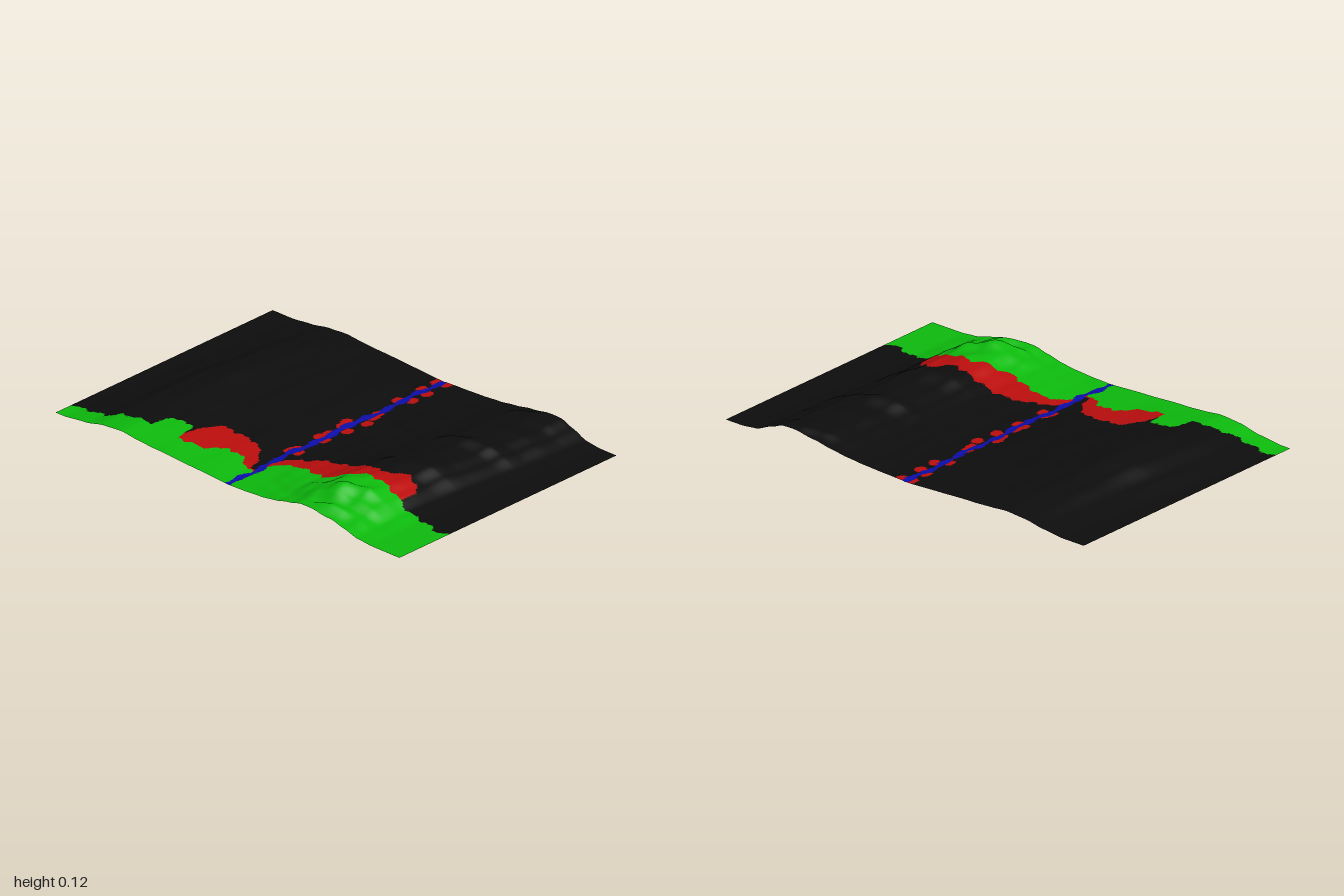
import * as THREE from 'three';

const NX = 240, NZ = 160, DEPTH = 1.334;

// smooth interpolation through a short list of [position, value] pairs
function along(points, t) {
  if (t <= points[0][0]) return points[0][1];
  for (let i = 1; i < points.length; i++) {
    const [a, va] = points[i - 1], [b, vb] = points[i];
    if (t <= b) {
      const f = (t - a) / (b - a), s = f * f * (3 - 2 * f);
      return va + (vb - va) * (0.5 * f + 0.5 * s);
    }
  }
  return points[points.length - 1][1];
}

// cross-sections (x) and crest heights (z) of the two ridges
const eastSection = [[0, 0.08], [0.1, 0.14], [0.2, 0.25], [0.3, 0.38], [0.38, 0.6], [0.46, 0.88], [0.55, 1], [0.64, 0.87], [0.71, 0.55], [0.79, 0.13], [0.87, 0]];
const eastCrest = [[-0.667, 0.06], [-0.62, 0.075], [-0.55, 0.073], [-0.5, 0.065], [-0.4, 0.075], [-0.3, 0.066], [-0.22, 0.088],
  [-0.15, 0.073], [0, 0.08], [0.1, 0.098], [0.2, 0.087], [0.3, 0.099], [0.4, 0.1], [0.45, 0.112], [0.52, 0.095], [0.57, 0.066], [0.61, 0.077], [0.667, 0.052]];
const westSection = [[-0.92, 0], [-0.8, 0.33], [-0.7, 0.82], [-0.59, 1], [-0.5, 0.82], [-0.4, 0.65], [-0.2, 0.38], [0, 0.12]];
const westCrest = [[-0.667, 0.035], [-0.45, 0.05], [-0.25, 0.062], [0, 0.083], [0.2, 0.073], [0.45, 0.055], [0.667, 0.042]];

function height(x, z) {
  const bend = 0.04 * Math.sin(z * 2.6 + 0.4);           // ridges wander sideways
  const rough = 0.05 * Math.sin(17 * x + 5 * z) * Math.sin(13 * z - 4 * x);
  let h = x > 0
    ? along(eastSection, x + bend * Math.min(1, x * 2)) * along(eastCrest, z + 0.04 * Math.sin(9 * x - 5))
    : along(westSection, x + bend * Math.min(1, -x)) * along(westCrest, z);
  h *= 1 + rough;
  // lumpy foreground hill
  const hill = Math.exp(-(((x - 0.53) / 0.17) ** 2) - ((z - 0.5) / 0.15) ** 2);
  h += 0.011 * hill * Math.sin(38 * x + 9 * z) * Math.cos(31 * z);
  return Math.max(0, h);
}

// back borders of the grass and clay areas, as z for each x
const grassWest = [[-1, 0.56], [-0.8, 0.57], [-0.7, 0.54], [-0.57, 0.53], [-0.555, 0.45], [-0.48, 0.41], [-0.43, 0.43], [-0.415, 0.53], [-0.3, 0.52], [-0.25, 0.48], [-0.2, 0.44], [-0.12, 0.45], [-0.03, 0.51]];
const grassEast = [[0, 0.44], [0.05, 0.39], [0.12, 0.36], [0.25, 0.38], [0.3, 0.4], [0.4, 0.36], [0.48, 0.32], [0.6, 0.32], [0.7, 0.34], [0.85, 0.35], [0.95, 0.38], [1, 0.37]];
const clayWest = [[-0.43, 0.52], [-0.4, 0.4], [-0.36, 0.33], [-0.3, 0.32], [-0.17, 0.32], [-0.1, 0.36], [-0.05, 0.42], [-0.03, 0.5]];
const clayEast = [[0, 0.38], [0.03, 0.33], [0.1, 0.3], [0.14, 0.26], [0.22, 0.24], [0.3, 0.23], [0.45, 0.23], [0.5, 0.25], [0.54, 0.22], [0.6, 0.18], [0.66, 0.2], [0.695, 0.25], [0.7, 0.34]];
// clay patches on the stream banks
const banks = [[-0.02, -0.64], [0.03, -0.65], [-0.02, -0.55], [0.03, -0.53], [0.03, -0.44], [-0.02, -0.4], [0.01, -0.25], [0.02, -0.21],
  [0.04, -0.15], [-0.03, -0.1], [-0.02, -0.06], [0.03, -0.04], [-0.01, 0.03], [-0.02, 0.08], [0.02, 0.09], [-0.01, 0.23], [0.02, 0.25], [-0.02, 0.26]];

function zone(x, z) {
  const mid = 0.006 * Math.sin(z * 16) + 0.004 * Math.sin(z * 41);
  if (Math.abs(x - mid) < 0.015 + 0.005 * Math.sin(z * 57)) return 'stream';
  const frill = 0.008 * Math.sin(x * 62) + 0.004 * Math.sin(x * 131);
  if (z > along(x < 0 ? grassWest : grassEast, x) + frill) return 'grass';
  if (x > -0.43 && x < 0.695 && z > along(x < 0 ? clayWest : clayEast, x) + frill) return 'clay';
  if (banks.some(([bx, bz]) => Math.hypot(x - bx, (z - bz) * 0.8) < 0.024)) return 'clay';
  return 'darkGround';
}

export function createModel() {
  const group = new THREE.Group();
  group.name = 'terrain';

  // one smooth height field shared by all ground areas
  const sheet = new THREE.PlaneGeometry(2, DEPTH, NX, NZ).rotateX(-Math.PI / 2);
  const pos = sheet.attributes.position;
  for (let i = 0; i < pos.count; i++) pos.setY(i, height(pos.getX(i), pos.getZ(i)));
  sheet.computeVertexNormals();

  // sort triangles into areas by their centre
  const areas = { darkGround: [], grass: [], clay: [], stream: [] };
  const idx = sheet.index.array;
  for (let t = 0; t < idx.length; t += 3) {
    const tri = [idx[t], idx[t + 1], idx[t + 2]];
    const x = tri.reduce((s, i) => s + pos.getX(i), 0) / 3;
    const z = tri.reduce((s, i) => s + pos.getZ(i), 0) / 3;
    areas[zone(x, z)].push(...tri);
  }

  const colors = { darkGround: 0x0d0d0d, grass: 0x0dbb0d, clay: 0xbb0d0d, stream: 0x0d0da8 };
  for (const [name, index] of Object.entries(areas)) {
    const geometry = new THREE.BufferGeometry();
    geometry.setAttribute('position', pos);
    geometry.setAttribute('normal', sheet.attributes.normal);
    geometry.setIndex(index);
    const mesh = new THREE.Mesh(geometry, new THREE.MeshStandardMaterial({ color: colors[name], side: THREE.DoubleSide }));
    mesh.name = name;
    group.add(mesh);
  }
  return group;
}
